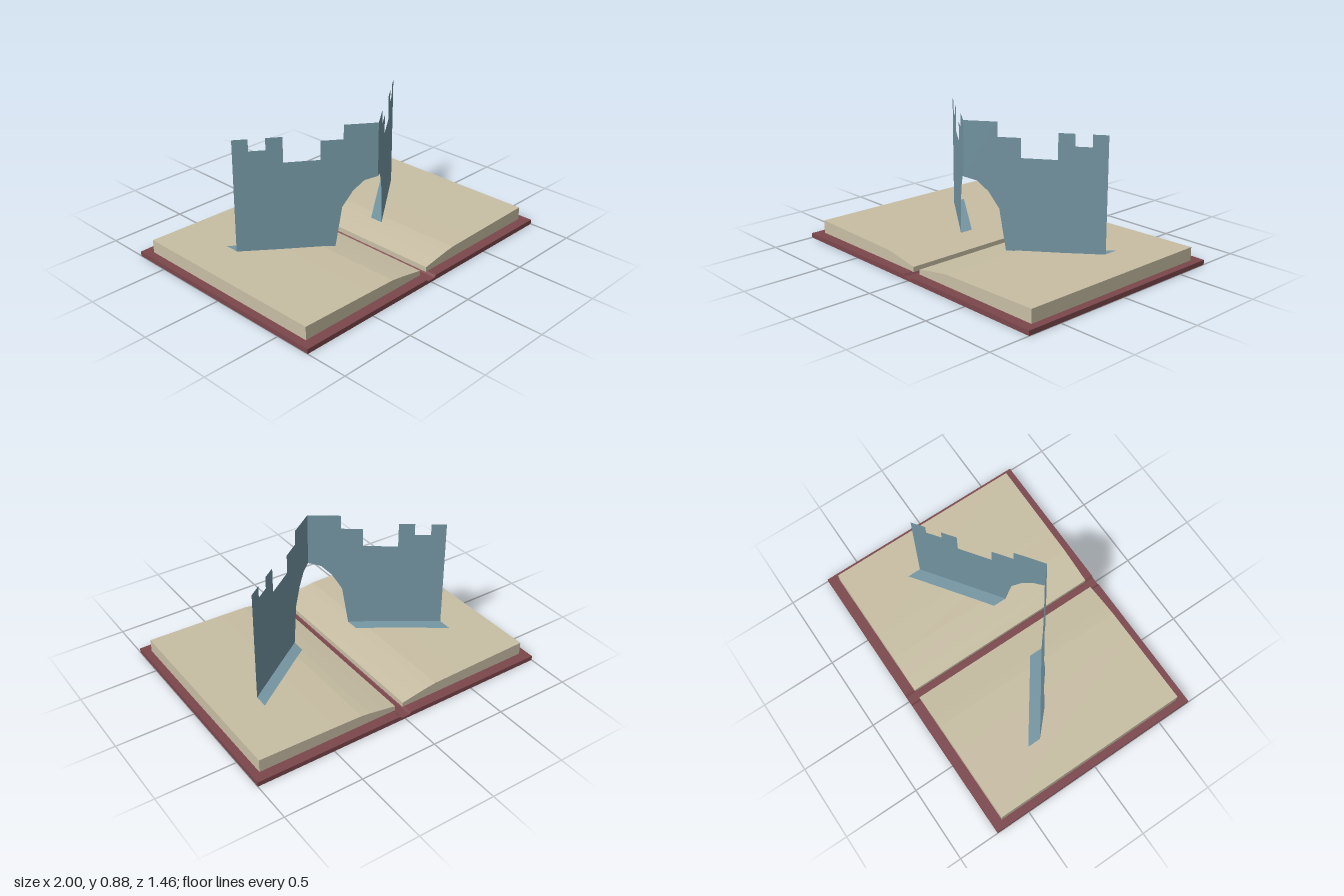
import * as THREE from 'three';

const mat = (color, side = THREE.FrontSide) =>
  new THREE.MeshStandardMaterial({ color, side, flatShading: true });

// Cross-section in x/y, mirrored by s, as a shape
const outline = (pts, s = 1) =>
  new THREE.Shape(pts.map(([x, y]) => new THREE.Vector2(x * s, y)));

// Cross-section run along z, centred
function slab(shape, depth, material, name) {
  const g = new THREE.ExtrudeGeometry(shape, { depth, bevelEnabled: false });
  g.translate(0, 0, -depth / 2);
  const m = new THREE.Mesh(g, material);
  m.name = name;
  return m;
}

export function createModel() {
  const group = new THREE.Group();
  group.name = 'popUpBook';
  const coverMat = mat(0x7b474c);
  const pageMat = mat(0xc8bea4);
  const cardMat = mat(0x7496a3, THREE.DoubleSide);

  // Cover: two boards joined by a thinner spine
  const half = [[0.028, 0.016], [0.04, 0.03], [1, 0.03], [1, 0]];
  const mirrored = half.map(([x, y]) => [-x, y]).reverse();
  group.add(slab(outline([...mirrored, ...half]), 1.46, coverMat, 'cover'));

  const pageProfile = [
    [0.028, 0.028], [0.028, 0.06], [0.12, 0.077], [0.21, 0.092],
    [0.27, 0.1], [0.45, 0.104], [0.95, 0.114], [0.95, 0.028],
  ];
  // Half of the castle front: arch edge, then battlements back to the fold
  const wallProfile = [
    [0, 0.54], [0.065, 0.52], [0.12, 0.457], [0.172, 0.355], [0.205, 0.095],
    [0.685, 0.112], [0.685, 0.83], [0.61, 0.83], [0.61, 0.755], [0.53, 0.755],
    [0.53, 0.83], [0.45, 0.83], [0.45, 0.67], [0.275, 0.67], [0.275, 0.79],
    [0.165, 0.79], [0.165, 0.88], [0, 0.88],
  ];
  // The card folds back from the centre line
  const wallZ = (x) => 0.298 - 0.727 * Math.abs(x);

  for (const [s, side] of [[1, 'left'], [-1, 'right']]) {
    group.add(slab(outline(pageProfile, s), 1.33, pageMat, side + 'Pages'));

    const wallGeo = new THREE.ShapeGeometry(outline(wallProfile, s));
    const p = wallGeo.attributes.position;
    for (let i = 0; i < p.count; i++) p.setZ(i, wallZ(p.getX(i)));
    wallGeo.computeVertexNormals();
    const wall = new THREE.Mesh(wallGeo, cardMat);
    wall.name = side + 'CastleWall';
    group.add(wall);

    // Glue tab lying on the page behind the wall
    const tabGeo = new THREE.PlaneGeometry(1, 1, 4, 1);
    const t = tabGeo.attributes.position;
    for (let i = 0; i < t.count; i++) {
      const u = t.getX(i) * s + 0.5, v = t.getY(i) + 0.5;
      const x = 0.205 + 0.48 * u;
      const y = u < 0.2 ? 0.099 + 0.03 * u : 0.105 + 0.0115 * (u - 0.2);
      t.setXYZ(i, x * s, y, wallZ(x) - 0.088 * (1 - v));
    }
    tabGeo.computeVertexNormals();
    const tab = new THREE.Mesh(tabGeo, cardMat);
    tab.name = side + 'GlueTab';
    group.add(tab);
  }
  return group;
}
